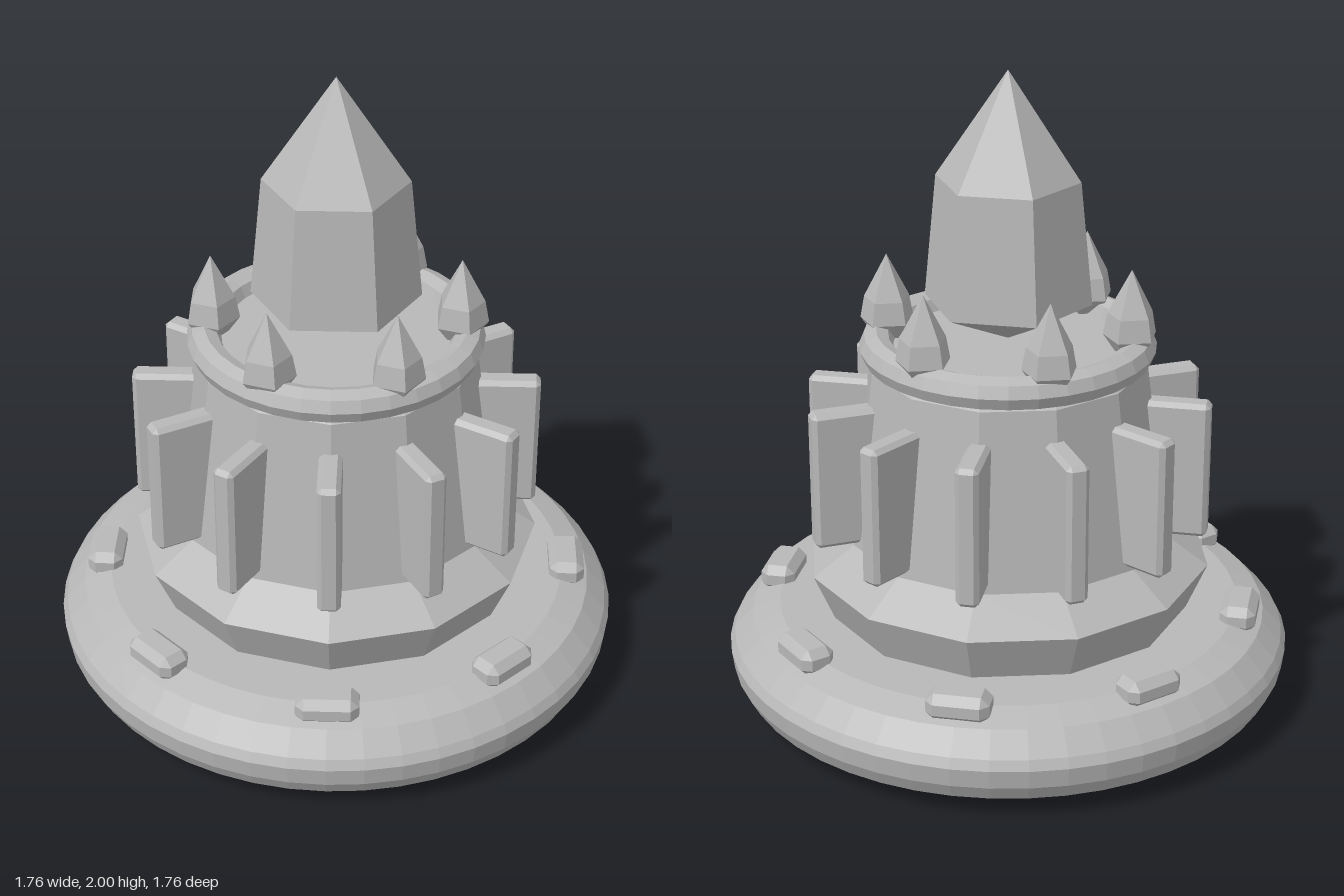
import * as THREE from 'three';
import { ConvexGeometry } from 'three/addons/geometries/ConvexGeometry.js';

// Faceted normals for a crisp low-poly look
function flat(geometry) {
  const g = geometry.index ? geometry.toNonIndexed() : geometry;
  g.computeVertexNormals();
  return g;
}

// Faceted solid of revolution from [radius, height] pairs, bottom to top
function turned(profile, sides) {
  return flat(new THREE.LatheGeometry(profile.map(([r, y]) => new THREE.Vector2(r, y)), sides));
}

// Box with every edge chamfered by c
function chamferBox(w, h, d, c) {
  const points = [];
  for (const x of [-1, 1]) for (const y of [-1, 1]) for (const z of [-1, 1]) {
    for (const axis of [0, 1, 2]) {
      const half = [w / 2 - c, h / 2 - c, d / 2 - c];
      half[axis] += c;
      points.push(new THREE.Vector3(x * half[0], y * half[1], z * half[2]));
    }
  }
  return flat(new ConvexGeometry(points));
}

export function createModel() {
  const model = new THREE.Group();
  const stone = new THREE.MeshStandardMaterial({ color: 0xb8b8b8 });
  stone.name = 'grey stone';

  const add = (name, geometry, parent = model) => {
    const mesh = new THREE.Mesh(geometry, stone);
    mesh.name = name;
    parent.add(mesh);
    return mesh;
  };

  // Places copies evenly around the axis; spin turns each to face outwards
  const ring = (name, geometry, count, radius, y, spin = true) => {
    const group = new THREE.Group();
    group.name = name + 's';
    for (let i = 0; i < count; i++) {
      const a = (i / count) * Math.PI * 2;
      const mesh = add(name, geometry, group);
      mesh.position.set(Math.cos(a) * radius, y, Math.sin(a) * radius);
      if (spin) mesh.rotation.y = -a;
    }
    model.add(group);
  };

  // Round base
  add('base', turned([
    [0, 0], [0.72, 0], [0.845, 0.07], [0.872, 0.12], [0.88, 0.18],
    [0.865, 0.21], [0.805, 0.275], [0.72, 0.305], [0, 0.305],
  ], 48));

  // Raised blocks on the base
  ring('baseBlock', chamferBox(0.11, 0.085, 0.19, 0.025), 8, 0.735, 0.313);

  // Twelve-sided tower with a flared skirt
  add('tower', turned([
    [0.56, 0.29], [0.63, 0.455], [0.5, 0.545], [0.43, 1.1], [0.36, 1.15], [0, 1.15],
  ], 12));

  // Upright fins
  ring('fin', chamferBox(0.25, 0.44, 0.07, 0.014), 12, 0.5, 0.783);

  // Collar around the tower top
  const collar = add('collar', flat(new THREE.TorusGeometry(0.4, 0.052, 8, 32)));
  collar.rotation.x = Math.PI / 2;
  collar.position.y = 1.15;

  // Small five-sided crystals on the collar
  const shard = turned([[0, -0.12], [0.085, 0], [0.072, 0.07], [0, 0.21]], 5);
  shard.rotateY(Math.PI / 2);
  ring('smallCrystal', shard, 6, 0.375, 1.2, false);

  // Main six-sided crystal
  const crystal = turned([[0, 1.165], [0.257, 1.29], [0.22, 1.67], [0, 2]], 6);
  crystal.rotateY(Math.PI / 2);
  add('mainCrystal', crystal);

  return model;
}
